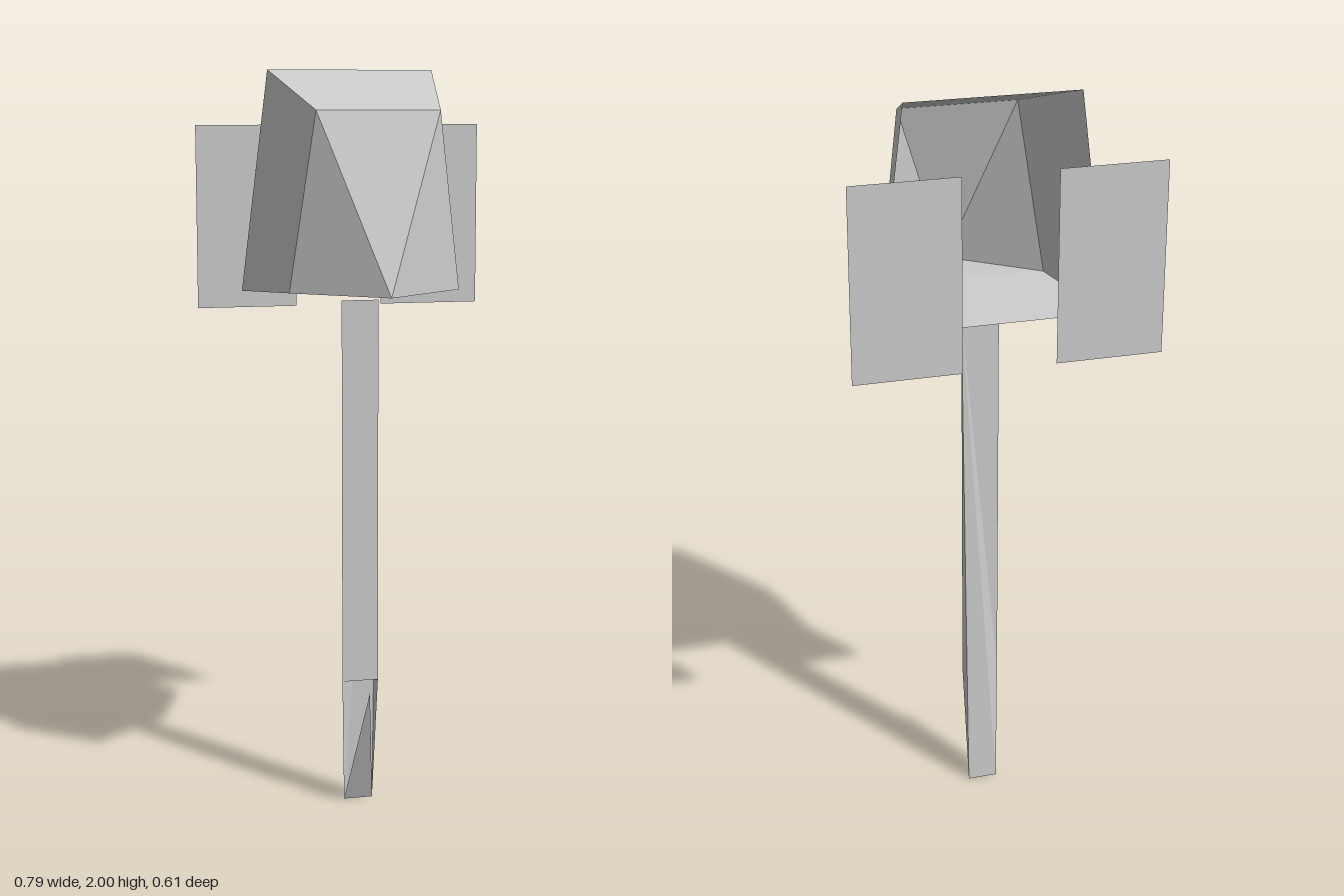
import * as THREE from 'three';

const material = new THREE.MeshStandardMaterial({
  color: 0xcccccc, flatShading: true, side: THREE.DoubleSide,
});

// Flat-faced sheet mesh: each face is a list of corners, fanned from its first corner
function sheet(name, faces) {
  const points = [];
  for (const f of faces) {
    for (let i = 1; i < f.length - 1; i++) points.push(...f[0], ...f[i], ...f[i + 1]);
  }
  const geometry = new THREE.BufferGeometry();
  geometry.setAttribute('position', new THREE.Float32BufferAttribute(points, 3));
  geometry.computeVertexNormals();
  const mesh = new THREE.Mesh(geometry, material);
  mesh.name = name;
  return mesh;
}

// Left (+x) and right (-x) copies of a corner
const pair = (x, y, z) => [[x, y, z], [-x, y, z]];

export function createModel() {
  const model = new THREE.Group();
  model.name = 'model';

  // Faceted hood with a pointed lower front, open at the back
  const [backTopL, backTopR] = pair(0.223, 2, -0.16);
  const [backLowL, backLowR] = pair(0.297, 1.42, -0.16);
  const [brimL, brimR] = pair(0.16, 1.897, 0.168);
  const [jawL, jawR] = pair(0.223, 1.44, 0.128);
  const nose = [0, 1.44, 0.306];
  model.add(sheet('hood', [
    [backTopR, brimR, brimL, backTopL],
    [brimR, nose, brimL],
    [brimL, nose, jawL],
    [brimR, jawR, nose],
    [backTopL, brimL, jawL, backLowL],
    [backTopR, backLowR, jawR, brimR],
    [backLowR, backLowL, jawL, jawR],
    [jawR, jawL, nose],
  ]));

  // Flat panels behind the hood
  for (const side of [1, -1]) {
    const panel = new THREE.Mesh(new THREE.PlaneGeometry(0.275, 0.495), material);
    panel.name = side > 0 ? 'leftPanel' : 'rightPanel';
    panel.position.set(side * 0.2575, 1.6075, -0.306);
    model.add(panel);
  }

  // Long thin strip: flat front, with a folded back sheet reaching the tip
  const [topL, topR] = pair(0.05, 1.4, -0.042);
  const [bendL, bendR] = pair(0.05, 0.35, -0.042);
  const [tipL, tipR] = pair(0.04, 0, -0.07);
  model.add(sheet('stripFront', [[topL, topR, bendR, bendL]]));
  model.add(sheet('stripBack', [[topL, bendL, tipL, tipR, bendR, topR]]));

  // Pointed barb rising forward from the tip
  model.add(sheet('barb', [[tipR, tipL, [0, 0.35, 0.075]]]));

  return model;
}
